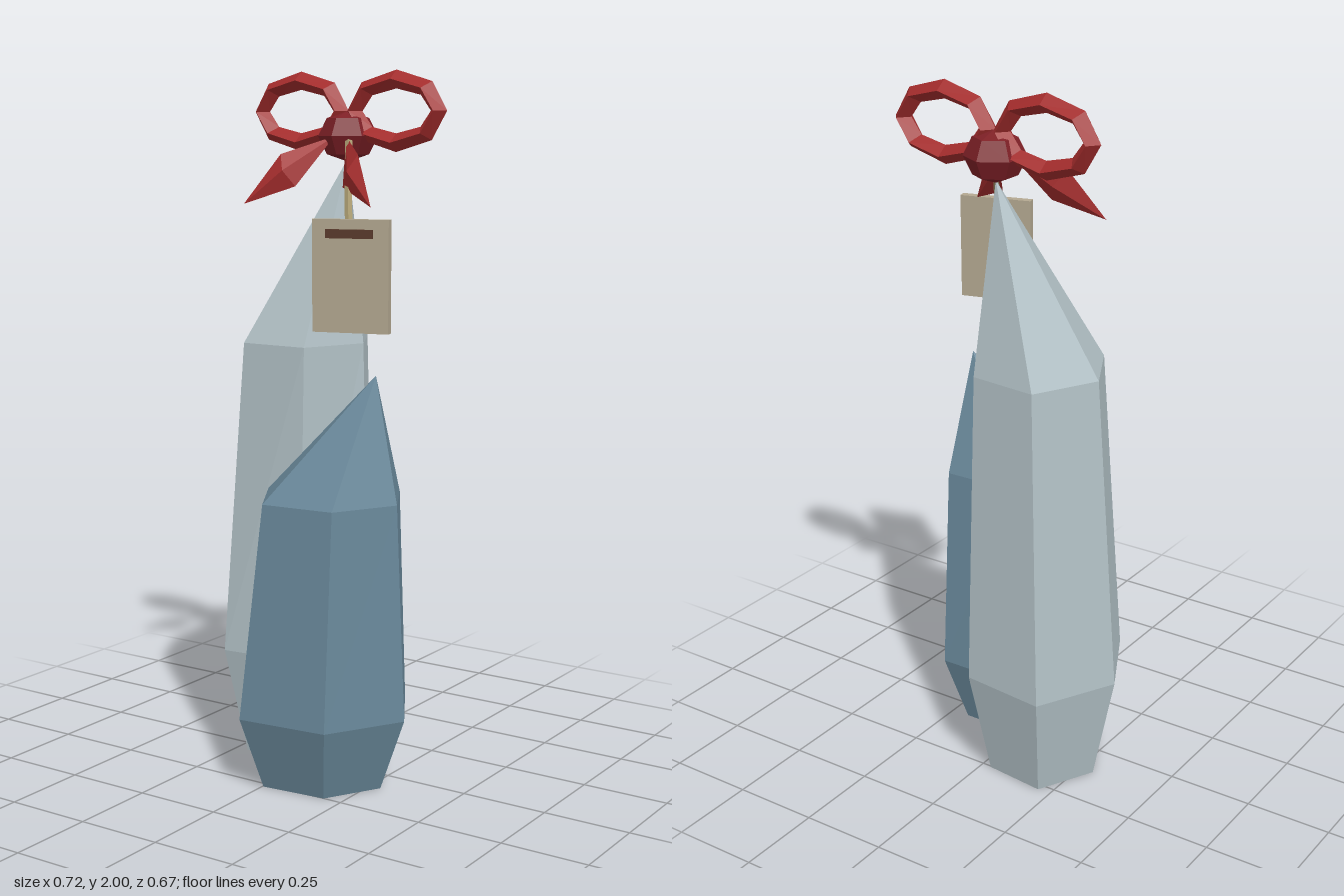
import * as THREE from 'three';

const mat = (color) => new THREE.MeshStandardMaterial({ color, flatShading: true });

function add(parent, name, geometry, material, x = 0, y = 0, z = 0) {
  const m = new THREE.Mesh(geometry, material);
  m.name = name;
  m.position.set(x, y, z);
  parent.add(m);
  return m;
}

// Skin rings of points (clockwise seen from the last ring); a one-point ring is a pole
function loft(rings) {
  const pos = [];
  const tri = (...pts) => {
    if (pts[0] !== pts[1] && pts[1] !== pts[2] && pts[0] !== pts[2]) pts.forEach((p) => pos.push(...p));
  };
  for (let r = 0; r + 1 < rings.length; r++) {
    const lo = rings[r], hi = rings[r + 1], n = Math.max(lo.length, hi.length);
    for (let i = 0; i < n; i++) {
      const a = lo[i % lo.length], b = lo[(i + 1) % lo.length];
      const c = hi[i % hi.length], d = hi[(i + 1) % hi.length];
      tri(b, a, c);
      tri(b, c, d);
    }
  }
  const g = new THREE.BufferGeometry();
  g.setAttribute('position', new THREE.Float32BufferAttribute(pos, 3));
  g.computeVertexNormals();
  return g;
}

// Six-sided crystal: tapered foot, widest ring, shoulder ring, off-centre point
function crystal([cx, cz], wideY, wide, shoulderY, shoulder, apex) {
  const at = (pts, y) => pts.map(([x, z]) => [x, y, z]);
  const foot = wide.map(([x, z]) => [cx + (x - cx) * 0.72, cz + (z - cz) * 0.72]);
  return loft([[[cx, 0, cz]], at(foot, 0), at(wide, wideY), at(shoulder, shoulderY), [apex]]);
}

export function createModel() {
  const model = new THREE.Group();
  model.name = 'crystalGift';
  const red = mat(0xa32c2c), darkRed = mat(0x7e2026);

  // Crystals
  add(model, 'tallCrystal', crystal([-0.12, -0.11],
    0.32, [[-0.363, -0.11], [-0.245, -0.337], [0.005, -0.31], [0.117, -0.11], [0.005, 0.09], [-0.245, 0.117]],
    1.23, [[-0.295, -0.11], [-0.2, -0.293], [0.003, -0.27], [0.09, -0.11], [0.01, 0.075], [-0.2, 0.072]],
    [0.003, 1.75, -0.158]), mat(0xb2c1c6));
  add(model, 'shortCrystal', crystal([0.09, 0.1],
    0.21, [[-0.177, 0.095], [-0.045, -0.115], [0.235, -0.117], [0.36, 0.095], [0.235, 0.31], [-0.03, 0.337]],
    0.82, [[-0.1, 0.095], [0.01, -0.075], [0.235, -0.078], [0.33, 0.093], [0.233, 0.27], [0.018, 0.29]],
    [0.23, 1.165, 0.045]), mat(0x69889a));

  // Bow: knot, loops and tails
  const bow = new THREE.Group();
  bow.name = 'bow';
  bow.position.x = 0.003;
  model.add(bow);
  const knot = add(bow, 'bowKnot', new THREE.SphereGeometry(0.086, 6, 4), darkRed, 0, 1.815, -0.16);
  knot.scale.y = 0.84;
  knot.rotation.y = Math.PI / 6;

  // Flatten an eight-sided ring by moving its sections towards the middle
  const loop = new THREE.TorusGeometry(0.138, 0.026, 4, 8);
  const p = loop.attributes.position, uv = loop.attributes.uv;
  for (let i = 0; i < p.count; i++) {
    p.setY(i, p.getY(i) - 0.05 * Math.sin(uv.getX(i) * Math.PI * 2));
    p.setZ(i, p.getZ(i) * 1.32);
  }
  loop.computeVertexNormals();

  for (const s of [1, -1]) {
    const side = s > 0 ? 'left' : 'right';
    add(bow, side + 'BowLoop', loop, red, s * 0.161, 1.885, -0.16);
    const ring = [[0.13, 1.765, -0.01], [0.108, 1.72, 0.015], [0.08, 1.675, -0.01], [0.1, 1.72, -0.04]];
    if (s < 0) ring.reverse();
    const flip = (pts) => pts.map(([x, y, z]) => [s * x, y, z]);
    add(bow, side + 'BowTail',
      loft([flip([[0.213, 1.625, 0.055]]), flip(ring), flip([[0.02, 1.815, -0.12]])]), red);
  }

  // Gift tag on its string
  const string = new THREE.CatmullRomCurve3([
    new THREE.Vector3(0.045, 1.8, -0.1),
    new THREE.Vector3(0.115, 1.655, 0.01),
    new THREE.Vector3(0.145, 1.605, 0.055),
    new THREE.Vector3(0.21, 1.557, 0.15),
  ]);
  add(model, 'tagString', new THREE.TubeGeometry(string, 6, 0.011, 5), mat(0xa4966c));
  const tag = new THREE.Group();
  tag.name = 'tag';
  tag.position.set(0.228, 1.447, 0.168);
  tag.rotation.y = 0.25;
  model.add(tag);
  add(tag, 'tagPlate', new THREE.BoxGeometry(0.214, 0.303, 0.025), mat(0xb3a890));
  add(tag, 'tagSlot', new THREE.BoxGeometry(0.132, 0.024, 0.012), mat(0x5a3a2c), -0.003, 0.113, 0.013);

  return model;
}
